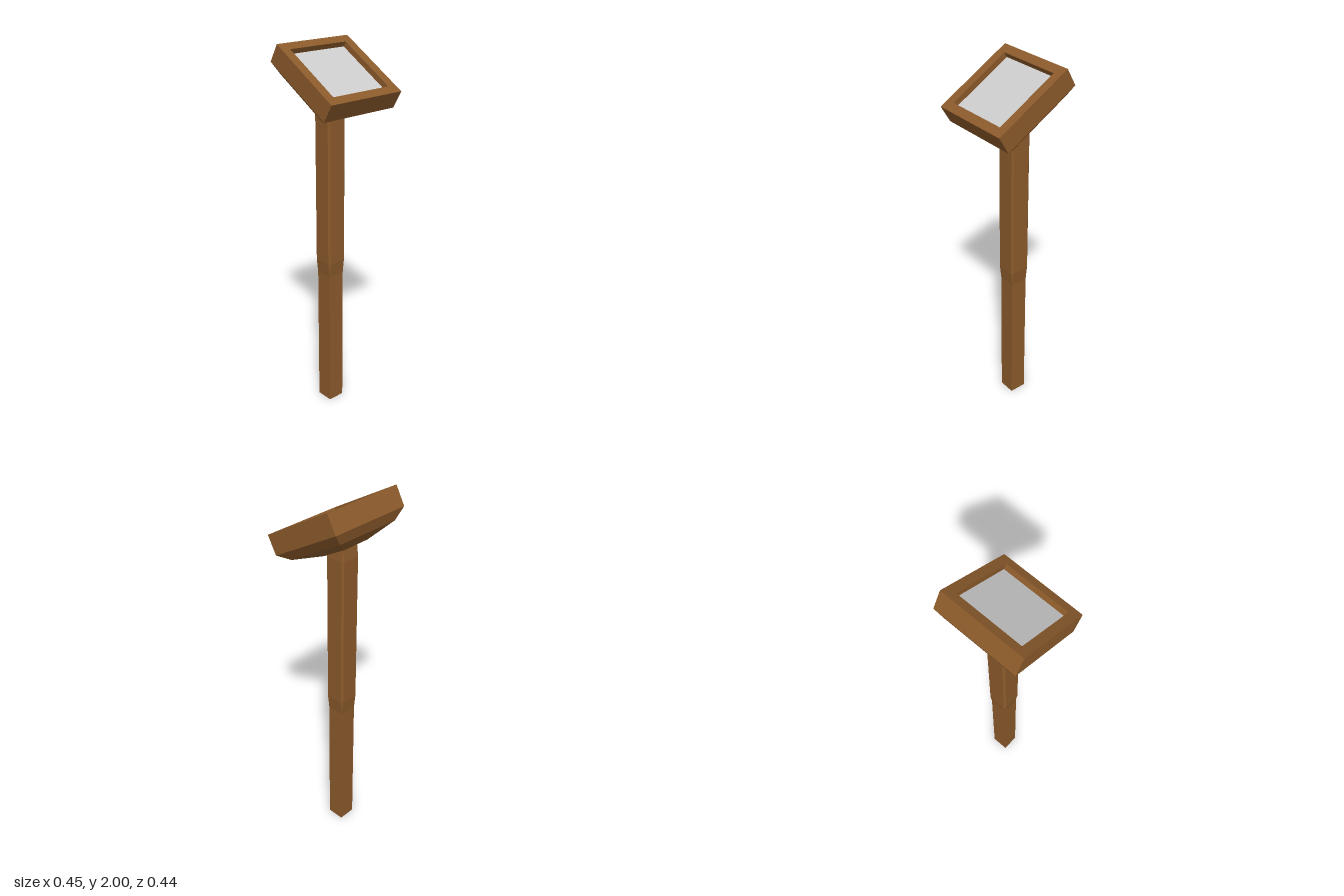
import * as THREE from 'three';

const wood = new THREE.MeshStandardMaterial({ color: 0x8b5a2b, flatShading: true });
const grey = new THREE.MeshStandardMaterial({ color: 0xcccccc, flatShading: true });

// Square ring at height y: faces at distance r, corners cut by c.
function ring(y, r, c = 0) {
  const k = r - c;
  return [[k, r], [r, k], [r, -k], [k, -r], [-k, -r], [-r, -k], [-r, k], [-k, r]]
    .map(([x, z]) => new THREE.Vector3(x, y, z));
}

// Flat-shaded skin through a list of rings, optionally closed at the ends.
function loft(rings, capStart, capEnd) {
  const pos = [];
  const tri = (a, b, c) => {
    const t = new THREE.Triangle(a, b, c);
    if (t.getArea() > 1e-9) pos.push(...a.toArray(), ...b.toArray(), ...c.toArray());
  };
  for (let i = 0; i < rings.length - 1; i++) {
    const p = rings[i], q = rings[i + 1];
    for (let j = 0; j < p.length; j++) {
      const k = (j + 1) % p.length;
      tri(p[j], p[k], q[k]);
      tri(p[j], q[k], q[j]);
    }
  }
  const first = rings[0], last = rings[rings.length - 1];
  for (let j = 1; j < first.length - 1; j++) {
    if (capStart) tri(first[0], first[j + 1], first[j]);
    if (capEnd) tri(last[0], last[j], last[j + 1]);
  }
  const geo = new THREE.BufferGeometry();
  geo.setAttribute('position', new THREE.Float32BufferAttribute(pos, 3));
  geo.computeVertexNormals();
  return geo;
}

function part(name, geo, mat) {
  const mesh = new THREE.Mesh(geo, mat);
  mesh.name = name;
  return mesh;
}

export function createModel() {
  const model = new THREE.Group();
  model.name = 'signPost';

  // Square post that swells into a chamfered upper shaft
  const post = part('post', loft([
    ring(0, 0.047), ring(0.78, 0.047),
    ring(0.86, 0.056, 0.009), ring(1.68, 0.056, 0.009),
    ring(1.76, 0.047), ring(1.79, 0.047),
  ], true, true), wood);
  post.position.z = -0.047;
  model.add(post);

  // Tilted head; its origin is the centre of the frame's top face
  const head = new THREE.Group();
  head.name = 'head';
  head.position.set(0, 1.888, 0.026);
  head.rotation.x = Math.PI / 6;
  model.add(head);

  // Tapered underside, straight sides, rim and inner walls of the recess
  head.add(part('frame', loft([
    ring(-0.185, 0.077), ring(-0.148, 0.182), ring(-0.103, 0.225),
    ring(0, 0.225), ring(0, 0.177), ring(-0.03, 0.177),
  ], true, false), wood));

  // Panel at the bottom of the recess
  const panel = part('panel', new THREE.PlaneGeometry(0.354, 0.354), grey);
  panel.rotation.x = -Math.PI / 2;
  panel.position.y = -0.03;
  head.add(panel);

  return model;
}
